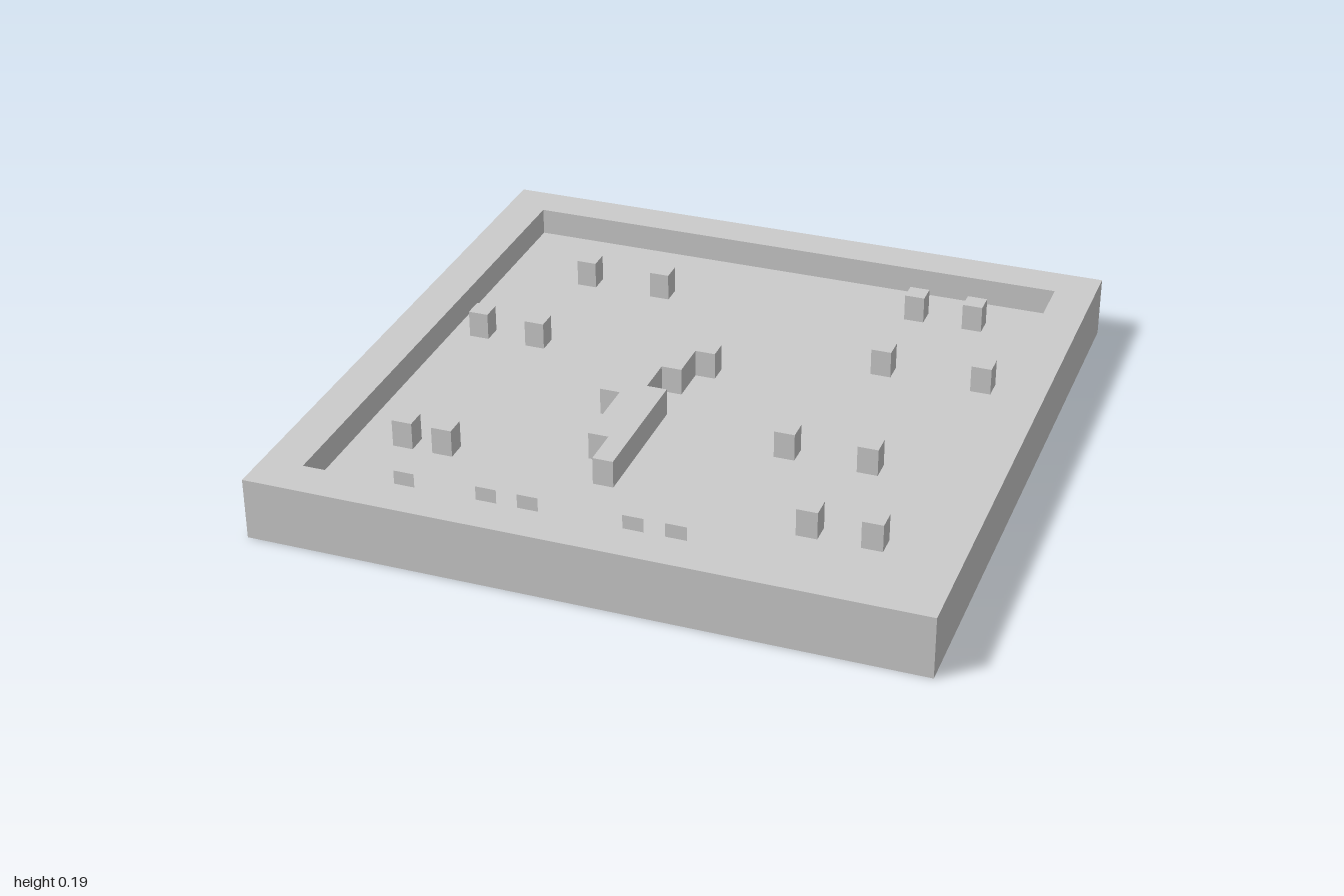
import * as THREE from 'three';

const CELL = 1 / 16;   // layout grid
const FLOOR = 0.105;   // height of the sunken ground
const TOP = 0.19;      // height of rim, posts and wall
const DEPTH = TOP - FLOOR;

const material = new THREE.MeshStandardMaterial({ color: 0xcccccc, flatShading: true });
const thin = new THREE.MeshStandardMaterial({ color: 0xcccccc, flatShading: true, side: THREE.DoubleSide });

function add(parent, name, geometry, x = 0, y = 0, z = 0, mat = material) {
  const mesh = new THREE.Mesh(geometry, mat);
  mesh.name = name;
  mesh.position.set(x, y, z);
  parent.add(mesh);
}

// Outline given as [x, z] pairs, raised from y = 0; the hole runs the other way round
function raise(points, height, hole) {
  const flip = (list) => list.map(([x, z]) => new THREE.Vector2(x, -z));
  const shape = new THREE.Shape(flip(points));
  if (hole) shape.holes.push(new THREE.Path(flip(hole).reverse()));
  return new THREE.ExtrudeGeometry(shape, { depth: height, bevelEnabled: false }).rotateX(-Math.PI / 2);
}

const square = (h) => [[-h, -h], [h, -h], [h, h], [-h, h]];

export function createModel() {
  const model = new THREE.Group();
  model.name = 'walledCourt';

  // Base slab with the raised border around it
  add(model, 'ground', new THREE.BoxGeometry(2, FLOOR, 2), 0, FLOOR / 2, 0);
  add(model, 'rim', raise(square(1), DEPTH, square(0.875)), 0, FLOOR, 0);

  // Stepped wall in the middle, in grid cells
  const outline = [
    [-3, -3], [0, -3], [0, -2], [-1, -2], [-1, 0], [-2, 0], [-2, 2], [-1, 2],
    [-1, 9], [-2, 9], [-2, 7], [-3, 7], [-3, 3], [-4, 3], [-4, -1], [-3, -1],
  ].map(([x, z]) => [x * CELL, z * CELL]);
  add(model, 'centreWall', raise(outline, DEPTH), 0, FLOOR, 0);

  // Square posts, placed by cell centre
  const posts = new THREE.Group();
  posts.name = 'posts';
  const post = new THREE.BoxGeometry(CELL, DEPTH, CELL);
  const spots = [
    [-9.5, -9.5], [-5.5, -9.5], [7.5, -11.5], [10.5, -11.5], [7.5, -5.5], [12.5, -5.5],
    [-12.5, -2.5], [-9.5, -2.5], [5.5, 3.5], [9.5, 3.5], [-11.5, 8.5], [-9.5, 8.5],
    [8.5, 9.5], [11.5, 9.5],
  ];
  for (const [x, z] of spots) add(posts, 'post', post, x * CELL, FLOOR + DEPTH / 2, z * CELL);
  model.add(posts);

  // Thin upright panels just inside the front border
  const panels = new THREE.Group();
  panels.name = 'panels';
  const panel = new THREE.PlaneGeometry(CELL, DEPTH);
  for (const x of [-9.5, -5.5, -3.5, 1.5, 3.5]) {
    add(panels, 'panel', panel, x * CELL, FLOOR + DEPTH / 2, 13 * CELL, thin);
  }
  model.add(panels);

  return model;
}
